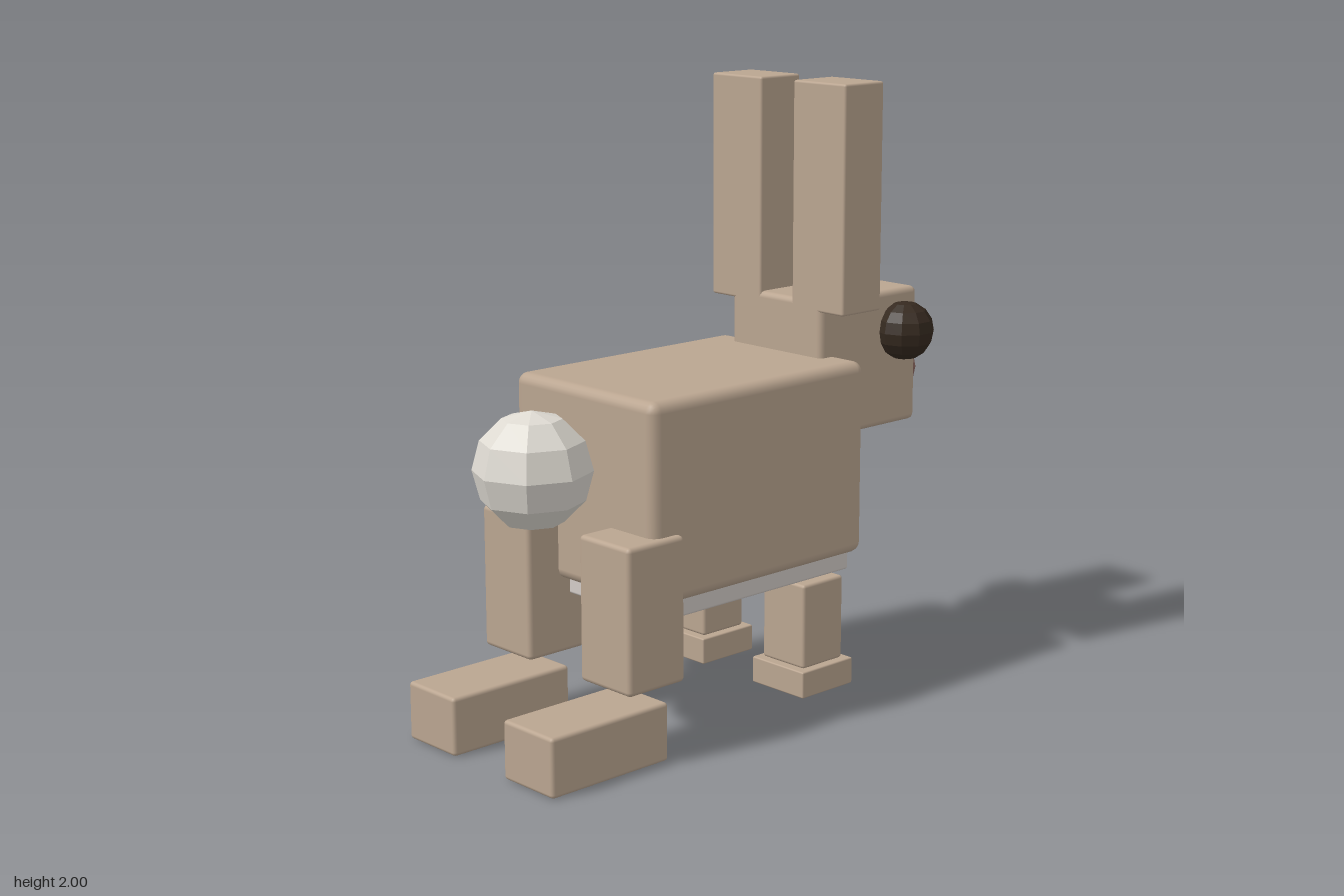
import * as THREE from 'three';
import { RoundedBoxGeometry } from 'three/addons/geometries/RoundedBoxGeometry.js';

const paint = (color, flatShading = false) => new THREE.MeshStandardMaterial({ color, flatShading });

export function createModel() {
  const model = new THREE.Group();
  const fur = paint(0xbaa590);
  const white = paint(0xdedad2, true);
  const cream = paint(0xd2cbc6);
  const dark = paint(0x35291f, true);
  const pink = paint(0x8c6860, true);

  // Softly bevelled block given by its extents on each axis
  function block(name, [x0, x1], [y0, y1], [z0, z1], bevel = 0.012, material = fur) {
    const geometry = new RoundedBoxGeometry(x1 - x0, y1 - y0, z1 - z0, 2, bevel);
    const mesh = new THREE.Mesh(geometry, material);
    mesh.position.set((x0 + x1) / 2, (y0 + y1) / 2, (z0 + z1) / 2);
    mesh.name = name;
    model.add(mesh);
  }

  // Faceted ball
  function ball(name, radius, position, material, around, rings) {
    const mesh = new THREE.Mesh(new THREE.SphereGeometry(radius, around, rings), material);
    mesh.position.set(...position);
    mesh.name = name;
    model.add(mesh);
  }

  // Trunk and head
  block('body', [-0.53, 0.39], [0.48, 1.115], [-0.325, 0.325], 0.035);
  block('belly', [-0.485, 0.345], [0.425, 0.6], [-0.3, 0.3], 0.008, cream);
  block('head', [0.305, 0.765], [0.845, 1.3], [-0.205, 0.205], 0.02);
  ball('nose', 0.09, [0.86, 0.98, 0], pink, 8, 8);
  ball('tail', 0.185, [-0.725, 0.89, 0], white, 8, 6);

  // Paired parts on both sides
  for (const side of [1, -1]) {
    const label = side > 0 ? 'Near' : 'Far';
    const span = (a, b) => (side > 0 ? [a, b] : [-b, -a]);
    block('ear' + label, [0.305, 0.482], [1.265, 2], span(0.072, 0.3), 0.008);
    block('frontLeg' + label, [0.115, 0.295], [0.14, 0.42], span(0.14, 0.325), 0.01);
    block('frontFoot' + label, [0.09, 0.32], [0.052, 0.14], span(0.117, 0.348), 0.005);
    block('hindLeg' + label, [-0.65, -0.423], [0.237, 0.7], span(0.12, 0.348), 0.015);
    block('hindFoot' + label, [-0.953, -0.493], [0, 0.188], span(0.12, 0.348), 0.012);
    ball('eye' + label, 0.098, [0.67, 1.165, side * 0.238], dark, 10, 8);
  }
  return model;
}
